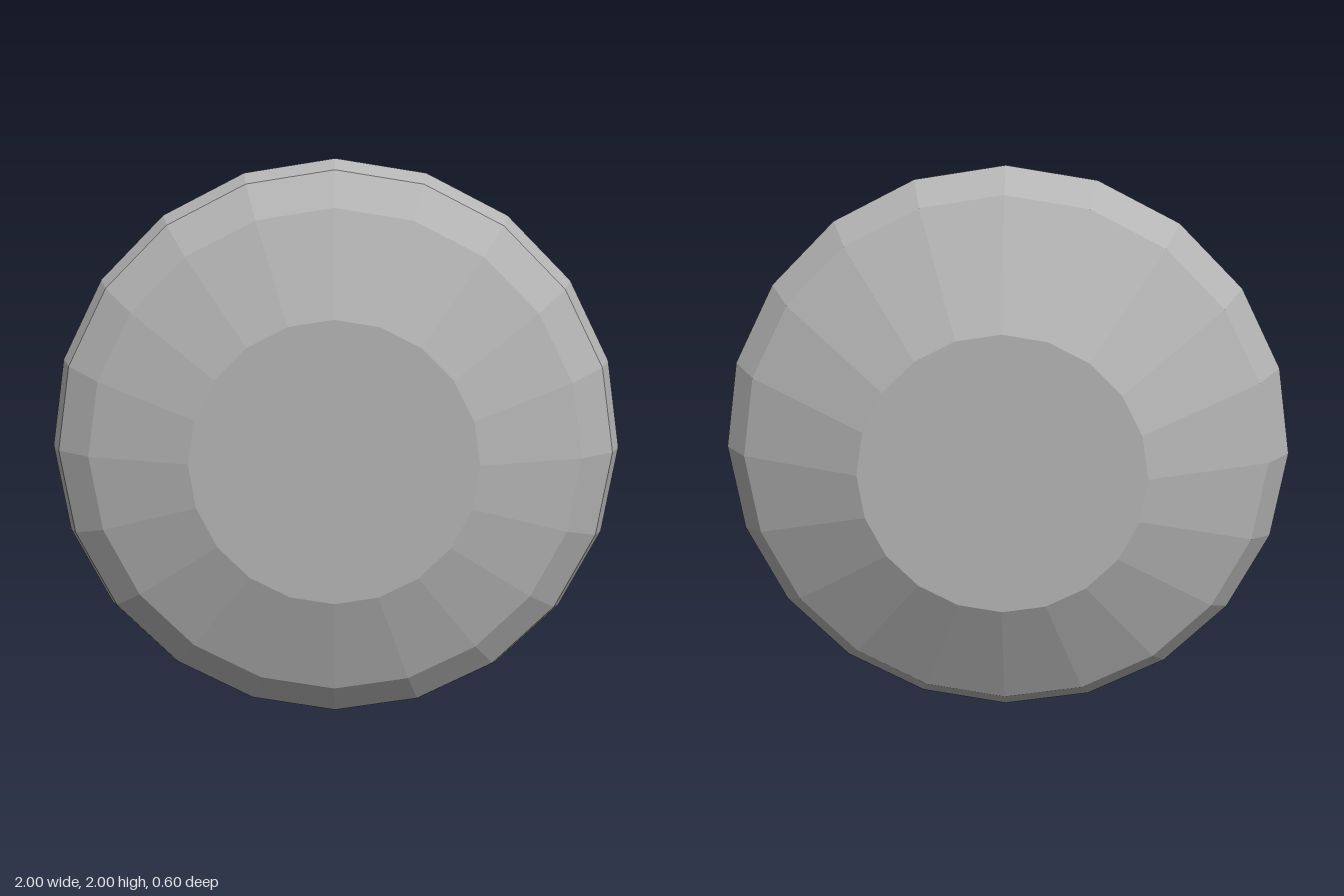
import * as THREE from 'three';

export function createModel() {
  const model = new THREE.Group();
  model.name = 'facetedDisc';

  const grey = new THREE.MeshStandardMaterial({ color: 0xb4b4b4, flatShading: true });
  grey.name = 'grey';

  const sides = 20;
  // Rim profile from back to front: [radius, depth]
  const profile = [
    [0.49, -0.3], [0.915, -0.1], [1, 0.015], [0.965, 0.1], [0.845, 0.19], [0.49, 0.3],
  ].map(([r, z]) => new THREE.Vector2(r, z));

  const disc = new THREE.Group();
  disc.name = 'disc';
  disc.position.y = 1;
  model.add(disc);

  // Faceted rim, turned so its axis runs front to back
  const rim = new THREE.Mesh(new THREE.LatheGeometry(profile, sides).rotateX(Math.PI / 2), grey);
  rim.name = 'rim';
  disc.add(rim);

  // Flat caps closing both ends
  for (const [name, z, turn] of [['frontCap', 0.3, 0], ['backCap', -0.3, Math.PI]]) {
    const cap = new THREE.Mesh(new THREE.CircleGeometry(0.49, sides), grey);
    cap.name = name;
    cap.position.z = z;
    cap.rotation.y = turn;
    disc.add(cap);
  }
  return model;
}
